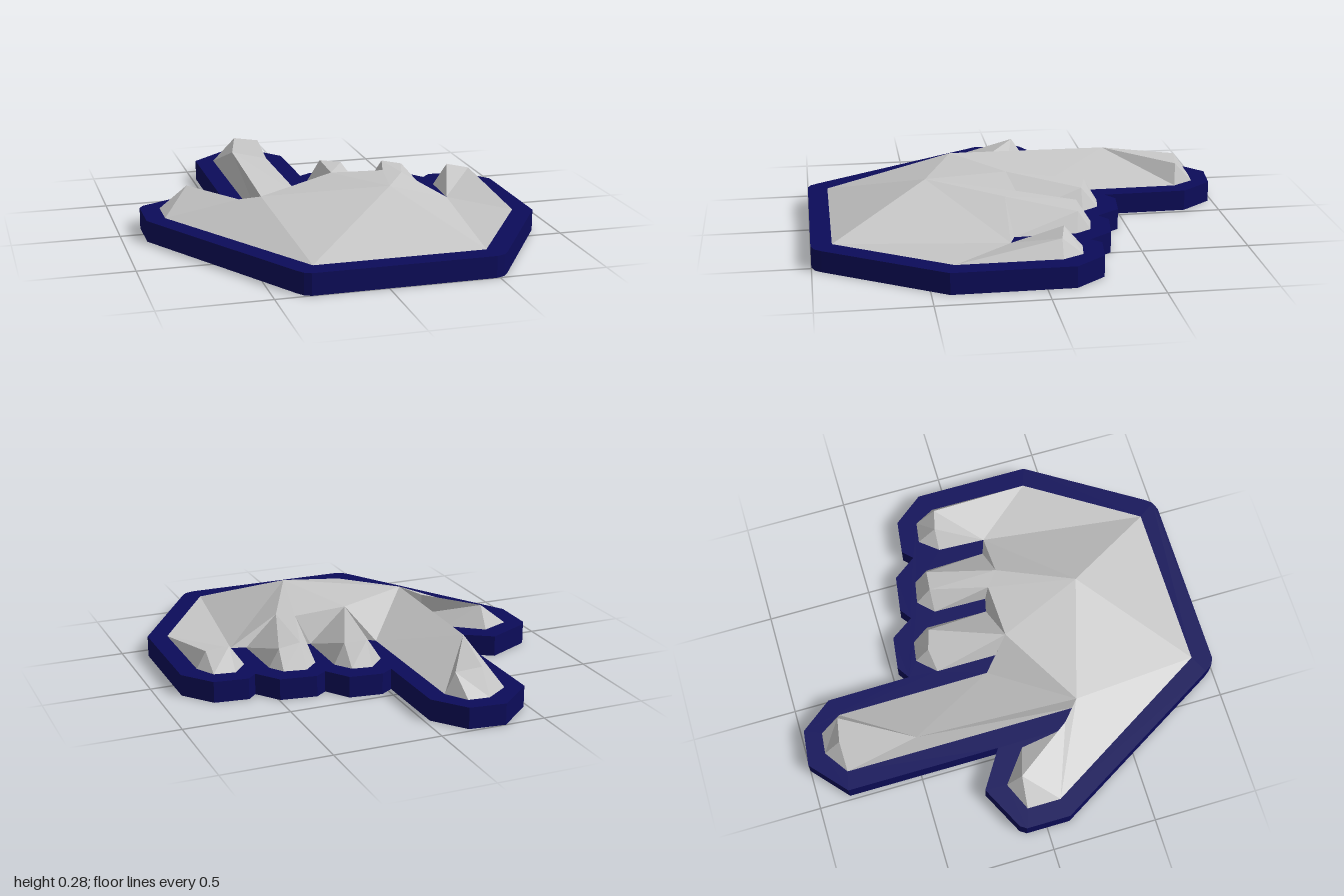
import * as THREE from 'three';

// Outlines as [x, z] pairs
const HAND = [
  [-0.8, 0.09], [-0.8, -0.07], [-0.665, -0.13], [-0.51, -0.01], [-0.476, 0.21], [-0.39, 0.29], // thumb 0-5
  [-0.39, -0.83], [-0.275, -0.91], [-0.175, -0.9], [-0.11, -0.8], [-0.105, -0.065],            // index 6-10
  [-0.03, 0], [-0.03, -0.29], [0.05, -0.375], [0.145, -0.36], [0.2, -0.28], [0.2, 0.02],       // middle 11-16
  [0.265, 0.035], [0.27, -0.22], [0.34, -0.29], [0.445, -0.27], [0.49, -0.2], [0.5, 0.09],     // ring 17-22
  [0.57, 0.115], [0.58, -0.11], [0.65, -0.195], [0.75, -0.18], [0.8, -0.085],                  // little 23-27
  [0.8, 0.39], [0.47, 0.905], [-0.31, 0.905],                                                  // heel 28-30
];
const RIM = [
  [-0.89, -0.1], [-0.87, -0.13], [-0.66, -0.235], [-0.48, -0.12], [-0.48, -0.85], [-0.31, -1], [-0.14, -0.98],
  [-0.025, -0.83], [-0.02, -0.43], [0.04, -0.47], [0.195, -0.45], [0.27, -0.34], [0.325, -0.38],
  [0.495, -0.355], [0.575, -0.245], [0.62, -0.29], [0.78, -0.27], [0.89, -0.13], [0.89, 0.42],
  [0.55, 0.955], [0.525, 0.985], [0.485, 1], [-0.34, 1], [-0.37, 0.985], [-0.395, 0.95], [-0.89, 0.11],
];
const BASE = 0.1;

// Raised points of the faceted relief: [x, y, z]
const PEAKS = {
  palm: [0.17, 0.285, 0.46], web: [-0.39, 0.23, 0.29], thumbWeb: [-0.476, 0.2, 0.21], thumb: [-0.67, 0.205, -0.06],
  index: [-0.36, 0.235, -0.48], indexTipL: [-0.275, 0.215, -0.83], indexTipR: [-0.155, 0.2, -0.81],
  knuckleA: [0.005, 0.25, 0.06], knuckleB: [0.265, 0.24, 0.05], knuckleC: [0.34, 0.24, 0.11],
  middleL: [0.05, 0.21, -0.31], middleR: [0.15, 0.2, -0.28],
  ringL: [0.345, 0.21, -0.22], ringR: [0.445, 0.19, -0.21],
  littleL: [0.65, 0.2, -0.11], littleR: [0.755, 0.18, -0.085],
};

// Facet fans: apex followed by its neighbours (numbers are outline points)
const RELIEF = {
  palm: [
    ['palm', 'knuckleA', 'web', 30, 29, 23, 'knuckleC', 'knuckleB', 'knuckleA'],
    ['web', 30, 0, 'thumbWeb'],
    ['web', 10, 'knuckleA'],
  ],
  thumb: [
    ['thumb', 'thumbWeb', 0, 1, 2, 3, 4, 'thumbWeb'],
    ['thumbWeb', 4, 5, 'web'],
  ],
  indexFinger: [
    ['index', 'web', 5, 6, 'indexTipL', 'indexTipR', 9, 10, 'web'],
    ['indexTipL', 6, 7, 'indexTipR'],
    ['indexTipR', 7, 8, 9],
  ],
  middleFinger: [
    ['knuckleA', 10, 11, 12, 'middleL', 'middleR', 16],
    ['middleL', 12, 13, 14],
    ['middleR', 16, 15, 14, 'middleL'],
  ],
  ringFinger: [
    ['knuckleB', 'knuckleA', 16, 17, 18, 'ringL', 'knuckleC'],
    ['knuckleC', 'ringL', 'ringR', 22, 23],
    ['ringL', 18, 19, 20],
    ['ringR', 22, 21, 20, 'ringL'],
  ],
  littleFinger: [
    [23, 24, 'littleL', 'littleR', 28, 29],
    ['littleL', 24, 25, 26, 'littleR'],
    ['littleR', 26, 27, 28],
  ],
};

function point(key) {
  if (typeof key === 'number') return new THREE.Vector3(HAND[key][0], BASE, HAND[key][1]);
  return new THREE.Vector3(...PEAKS[key]);
}

// Turns fans into separate triangles, each wound to face upward
function fanGeometry(fans) {
  const points = [];
  for (const [apex, ...ring] of fans) {
    for (let i = 0; i < ring.length - 1; i++) {
      const a = point(apex), b = point(ring[i]), c = point(ring[i + 1]);
      const up = b.clone().sub(a).cross(c.clone().sub(a)).y >= 0;
      points.push(a, ...(up ? [b, c] : [c, b]));
    }
  }
  const geometry = new THREE.BufferGeometry().setFromPoints(points);
  geometry.computeVertexNormals();
  return geometry;
}

const toVectors = (list) => list.map(([x, z]) => new THREE.Vector2(x, z));

export function createModel() {
  const group = new THREE.Group();
  group.name = 'pointingHand';
  const grey = new THREE.MeshStandardMaterial({ color: 0xc6c6c6, flatShading: true, side: THREE.DoubleSide });
  grey.name = 'light grey';
  const navy = new THREE.MeshStandardMaterial({ color: 0x0c0c5a, flatShading: true });
  navy.name = 'navy';

  const add = (name, geometry, material) => {
    const mesh = new THREE.Mesh(geometry, material);
    mesh.name = name;
    group.add(mesh);
  };

  // Navy border running around the hand
  const rimShape = new THREE.Shape(toVectors(RIM));
  rimShape.holes.push(new THREE.Path(toVectors(HAND)));
  const rim = new THREE.ExtrudeGeometry(rimShape, { depth: BASE, bevelEnabled: false });
  rim.rotateX(Math.PI / 2).translate(0, BASE, 0);
  add('border', rim, navy);

  // Flat underside of the hand
  const underside = new THREE.ShapeGeometry(new THREE.Shape(toVectors(HAND)));
  underside.rotateX(Math.PI / 2);
  add('underside', underside, grey);

  // Faceted palm and fingers
  for (const [name, fans] of Object.entries(RELIEF)) add(name, fanGeometry(fans), grey);

  return group;
}
